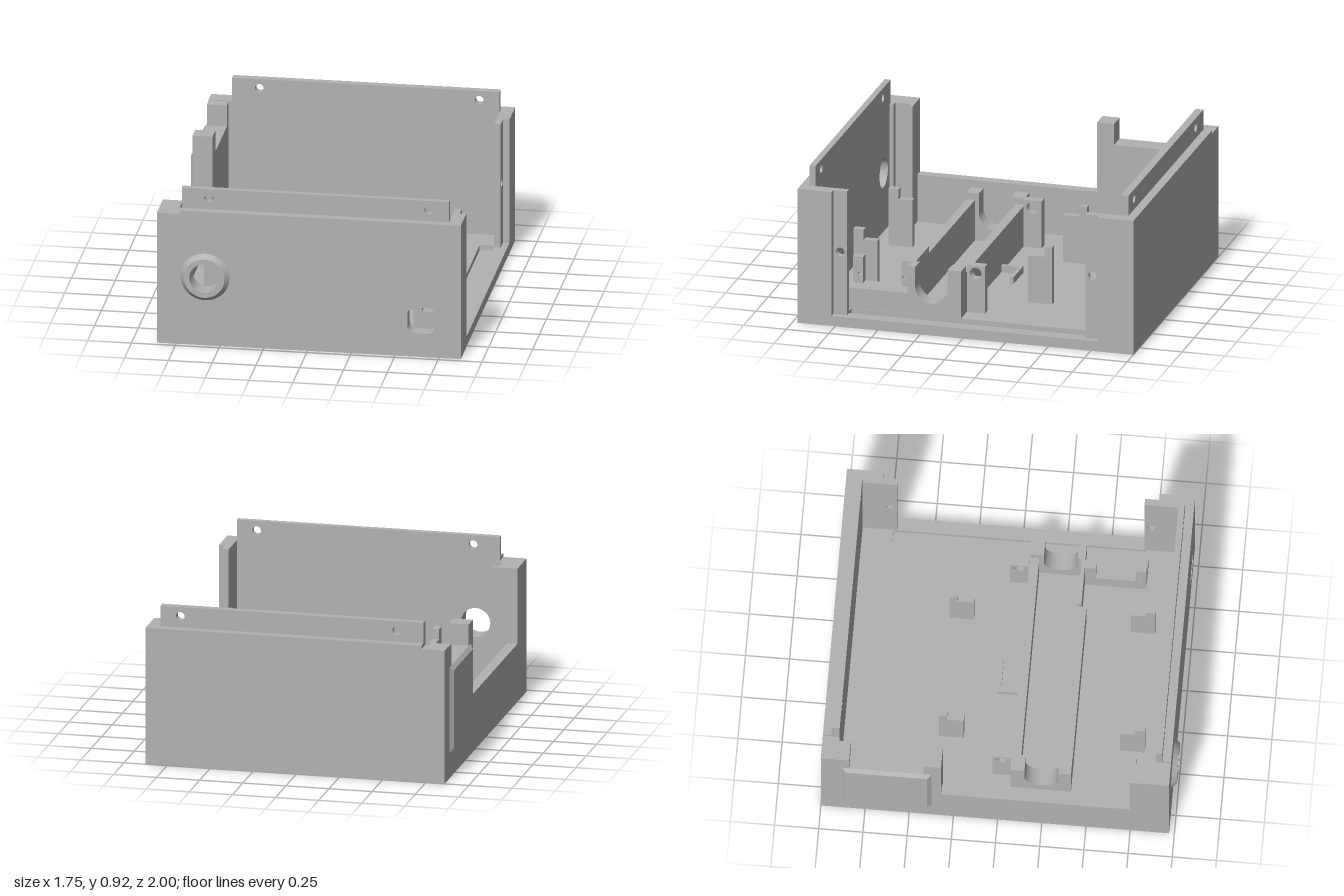
import * as THREE from 'three';

const grey = new THREE.MeshStandardMaterial({ color: 0xb2b2b2 });
grey.name = 'grey plastic';

export function createModel() {
  const model = new THREE.Group();
  model.name = 'openEnclosure';

  const add = (name, geometry) => {
    const mesh = new THREE.Mesh(geometry, grey);
    mesh.name = name;
    model.add(mesh);
    return mesh;
  };
  // Box given by its limits on each axis
  const box = (name, x0, x1, y0, y1, z0, z1) => {
    const g = new THREE.BoxGeometry(x1 - x0, y1 - y0, z1 - z0);
    g.translate((x0 + x1) / 2, (y0 + y1) / 2, (z0 + z1) / 2);
    return add(name, g);
  };
  const outline = (points) => new THREE.Shape(points.map(([x, y]) => new THREE.Vector2(x, y)));
  const rect = (x0, x1, y0, y1) => outline([[x0, y0], [x1, y0], [x1, y1], [x0, y1]]);
  const hole = (x, y, r) => new THREE.Path().absarc(x, y, r, 0, Math.PI * 2, true);
  const extrude = (shape, depth) =>
    new THREE.ExtrudeGeometry(shape, { depth, bevelEnabled: false, curveSegments: 20 });
  // Plate facing z, drawn in x and y
  const plateZ = (name, shape, z0, z1) => add(name, extrude(shape, z1 - z0).translate(0, 0, z0));
  // Plate facing x, drawn in z and y
  const plateX = (name, shape, x0, x1) =>
    add(name, extrude(shape, x1 - x0).rotateY(-Math.PI / 2).translate(x1, 0, 0));

  // Floor with a panel groove along the open side
  box('floorBase', -0.86, 0.875, 0, 0.03, -1, 0.97);
  const top = rect(-0.86, 0.875, -0.97, 1);
  top.holes.push(rect(0.715, 0.8, -0.7, 0.73));
  add('floorTop', extrude(top, 0.03).rotateX(-Math.PI / 2).translate(0, 0.03, 0));

  // End walls, with a lower left corner
  const wallShape = () =>
    outline([[-0.86, 0.06], [0.875, 0.06], [0.875, 0.8], [-0.725, 0.8], [-0.725, 0.78], [-0.86, 0.78]]);
  plateZ('backWall', wallShape(), -1, -0.905);
  const front = wallShape();
  front.holes.push(hole(-0.585, 0.41, 0.085));
  const port = new THREE.Path();
  const [px0, px1, py0, py1, pr] = [0.57, 0.73, 0.14, 0.295, 0.045];
  port.absarc(px1 - pr, py1 - pr, pr, 0, Math.PI / 2);
  port.absarc(px0 + pr, py1 - pr, pr, Math.PI / 2, Math.PI);
  port.absarc(px0 + pr, py0 + pr, pr, Math.PI, Math.PI * 1.5);
  port.absarc(px1 - pr, py0 + pr, pr, Math.PI * 1.5, Math.PI * 2);
  front.holes.push(port);
  plateZ('frontWall', front, 0.885, 0.97);

  // Screw lips on top of the end walls
  for (const [name, z0, z1] of [['frontLip', 0.885, 0.92], ['backLip', -0.95, -0.905]]) {
    const lip = rect(-0.725, 0.8, 0.8, 0.92);
    lip.holes.push(hole(-0.57, 0.865, 0.025), hole(0.685, 0.865, 0.025));
    plateZ(name, lip, z0, z1);
  }

  // Tapered ring around the round opening
  const ring = [[0.085, 0], [0.14, 0], [0.14, 0], [0.115, 0.03], [0.115, 0.03], [0.085, 0.03], [0.085, 0.03], [0.085, 0]];
  for (let i = 0; i < ring.length; i += 2) {
    const g = new THREE.LatheGeometry([ring[i], ring[i + 1]].map(([r, h]) => new THREE.Vector2(r, h)), 48);
    add('openingRing', g.rotateX(Math.PI / 2).translate(-0.585, 0.41, 0.97));
  }

  // Corner columns on the open right side, each with a drilled flange
  box('backRightCorner', 0.8, 0.875, 0.06, 0.8, -0.905, -0.79);
  box('frontRightCorner', 0.8, 0.875, 0.06, 0.8, 0.77, 0.885);
  for (const [z0, z1] of [[-0.79, -0.71], [0.69, 0.77]]) {
    const flange = rect(z0, z1, 0.06, 0.8);
    flange.holes.push(hole((z0 + z1) / 2, 0.435, 0.025));
    plateX('drilledFlange', flange, 0.8, 0.838);
  }

  // Left side: low wall, stepped back section and front column
  box('leftLowWall', -0.86, -0.8, 0.06, 0.34, -0.32, 0.75);
  plateX('leftBackWall', outline([[-0.905, 0.06], [-0.32, 0.06], [-0.32, 0.775], [-0.42, 0.775],
    [-0.42, 0.65], [-0.84, 0.65], [-0.84, 0.775], [-0.905, 0.775]]), -0.86, -0.745);
  box('frontLeftColumn', -0.86, -0.745, 0.06, 0.78, 0.75, 0.885);
  box('columnGuide', -0.745, -0.705, 0.06, 0.78, 0.75, 0.772);
  box('columnGuide', -0.745, -0.705, 0.06, 0.78, 0.862, 0.885);

  // Raised side panel with sloping edges
  const panel = box('sidePanel', -0.88, -0.86, 0.15, 0.65, -0.88, -0.375);
  const pos = panel.geometry.attributes.position;
  for (let i = 0; i < pos.count; i++) {
    if (pos.getX(i) > -0.87) continue;
    pos.setY(i, 0.4 + (pos.getY(i) - 0.4) * 0.91);
    pos.setZ(i, -0.6275 + (pos.getZ(i) + 0.6275) * 0.91);
  }
  panel.geometry = panel.geometry.toNonIndexed();
  panel.geometry.computeVertexNormals();

  // Cradle: two notched ends joined by long sides
  for (const [x0, x1, z1] of [[-0.68, -0.585, 0.4], [0.615, 0.71, 0.372]]) {
    const end = new THREE.Shape();
    end.moveTo(0.057, 0.06);
    end.lineTo(z1, 0.06);
    end.lineTo(z1, 0.34);
    end.lineTo(0.327, 0.34);
    end.absarc(0.232, 0.225, 0.095, 0, Math.PI, true);
    end.lineTo(0.137, 0.34);
    end.lineTo(0.057, 0.34);
    plateX('cradleEnd', end, x0, x1);
  }
  box('cradleBackSide', -0.585, 0.615, 0.06, 0.3, 0.057, 0.11);
  box('cradleFrontSide', -0.585, 0.345, 0.06, 0.3, 0.35, 0.4);
  box('cradleFrontSide', 0.345, 0.615, 0.06, 0.34, 0.35, 0.372);

  // Drilled lugs behind the cradle
  for (const [x0, x1] of [[-0.61, -0.557], [0.545, 0.597]]) {
    const lug = rect(-0.05, 0.057, 0.06, 0.34);
    lug.holes.push(hole(0.005, 0.295, 0.034));
    plateX('drilledLug', lug, x0, x1);
  }

  // Small corner stop
  box('cornerStop', -0.13, -0.105, 0.06, 0.1, -0.065, 0.057);
  box('cornerStop', -0.105, 0.07, 0.06, 0.1, -0.065, -0.043);

  // Stepped board supports, mirrored front and back
  for (const x of [-0.39, 0.322]) {
    box('supportLow', x - 0.02, x + 0.02, 0.06, 0.34, -0.325, -0.23);
    box('supportHigh', x - 0.02, x + 0.02, 0.06, 0.4, -0.37, -0.325);
    box('supportLow', x - 0.02, x + 0.02, 0.06, 0.34, 0.655, 0.735);
    box('supportHigh', x - 0.02, x + 0.02, 0.06, 0.4, 0.735, 0.795);
  }

  // Switch bracket with two drilled posts
  box('bracketBase', 0.565, 0.71, 0.06, 0.18, 0.372, 0.72);
  for (const [z0, z1, hz] of [[0.372, 0.435, 0.42], [0.66, 0.72, 0.68]]) {
    const post = rect(z0, z1, 0.18, 0.335);
    post.holes.push(hole(hz, 0.235, 0.011));
    plateX('bracketPost', post, 0.565, 0.615);
  }

  return model;
}
